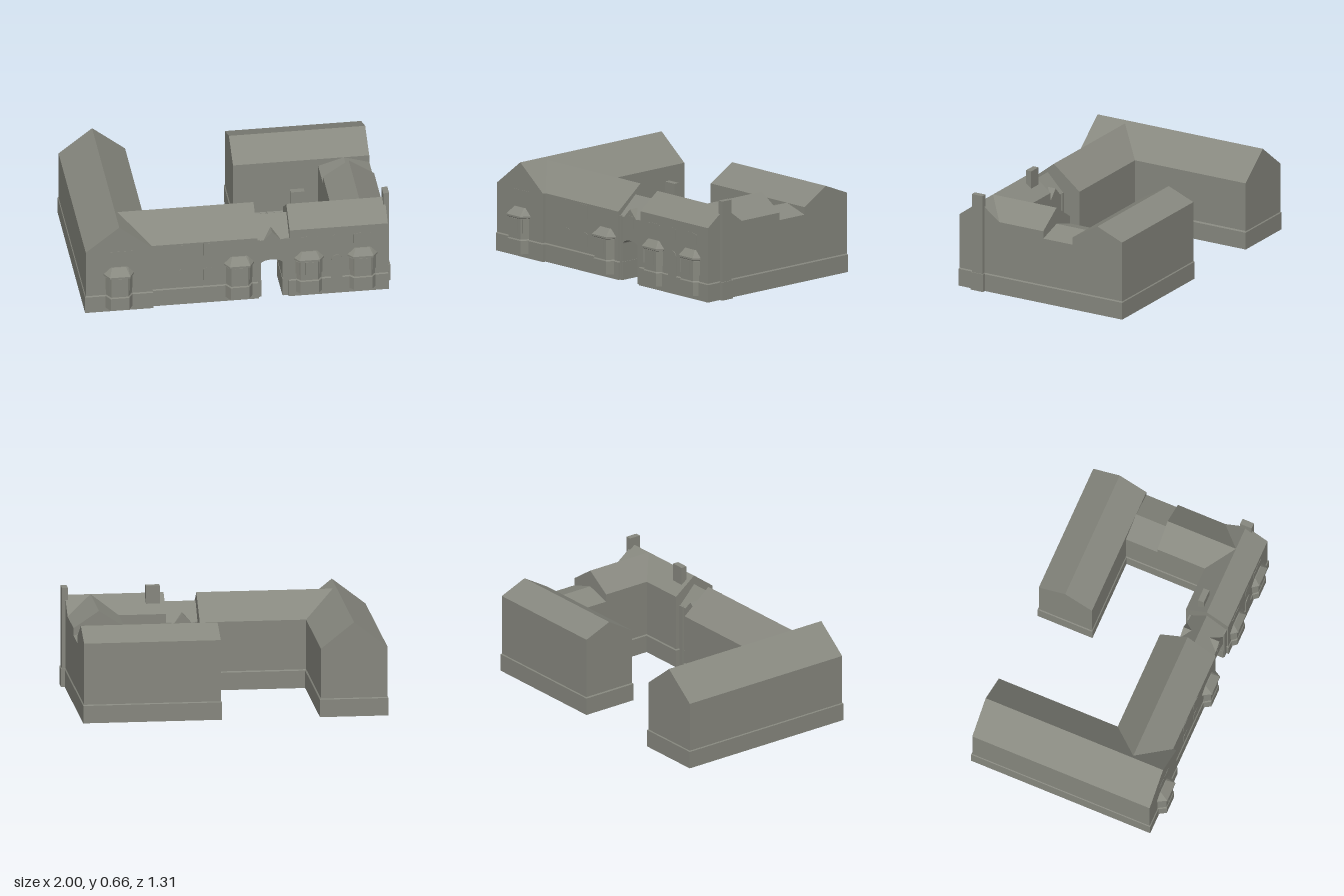
import * as THREE from 'three';

export function createModel() {
  const model = new THREE.Group();
  const stone = new THREE.MeshStandardMaterial({ color: 0x87887f });
  stone.name = 'grey stone';

  const add = (name, geometry, parent = model) => {
    const mesh = new THREE.Mesh(geometry, stone);
    mesh.name = name;
    parent.add(mesh);
    return mesh;
  };
  const box = (name, x0, x1, y0, y1, z0, z1) =>
    add(name, new THREE.BoxGeometry(x1 - x0, y1 - y0, z1 - z0)
      .translate((x0 + x1) / 2, (y0 + y1) / 2, (z0 + z1) / 2));
  const extrude = (points, depth) => new THREE.ExtrudeGeometry(
    new THREE.Shape(points.map(([x, y]) => new THREE.Vector2(x, y))),
    { depth, bevelEnabled: false });

  // Prism along z, or along x with its profile given in (z, y)
  const prismZ = (name, profile, z0, z1) => add(name, extrude(profile, z1 - z0).translate(0, 0, z0));
  const prismX = (name, profile, x0, x1) => add(name,
    extrude(profile.map(([z, y]) => [-z, y]), x1 - x0).rotateY(Math.PI / 2).translate(x0, 0, 0));
  const house = (a, b, ridge, eaveA, top, eaveB = eaveA) =>
    [[a, 0], [b, 0], [b, eaveB], [ridge, top], [a, eaveA]];

  // Plinth with a chamfered top edge
  function plinth(name, x0, x1, z0, z1) {
    const w = x1 - x0, d = z1 - z0;
    const g = new THREE.BoxGeometry(w, 2, d, 1, 2, 1).toNonIndexed();
    const p = g.attributes.position;
    for (let i = 0; i < p.count; i++) {
      const level = Math.round(p.getY(i)), inset = level === 1 ? 0.007 : 0;
      p.setXYZ(i, p.getX(i) - Math.sign(p.getX(i)) * inset, [0, 0.115, 0.124][level + 1],
        p.getZ(i) - Math.sign(p.getZ(i)) * inset);
    }
    g.computeVertexNormals();
    add(name, g.translate((x0 + x1) / 2, 0, (z0 + z1) / 2));
  }

  // Thin plate with a slightly arched head
  function pane(name, x, y0, y1, width, z, rise = 0, parent = model) {
    const h = width / 2, s = new THREE.Shape();
    s.moveTo(-h, y0).lineTo(h, y0).lineTo(h, y1 - rise);
    if (rise) s.absellipse(0, y1 - rise, h, rise, 0, Math.PI, false);
    else s.lineTo(h, y1).lineTo(-h, y1);
    s.closePath();
    const mesh = add(name, new THREE.ExtrudeGeometry(s,
      { depth: 0.005, bevelEnabled: false, curveSegments: 8 }), parent);
    mesh.position.set(x, 0, z);
    return mesh;
  }

  // Wings
  prismZ('westWing', house(-0.995, -0.563, -0.777, 0.45, 0.62), -0.65, 0.592);
  plinth('westWingPlinth', -1, -0.556, -0.655, 0.598);
  prismX('frontRange', house(0.182, 0.57, 0.375, 0.45, 0.605), -0.775, 0.125);
  plinth('frontRangePlinth', -0.6, 0.131, 0.176, 0.576);
  prismX('lodge', house(0.273, 0.57, 0.42, 0.49, 0.6), 0.332, 0.97);
  plinth('lodgePlinth', 0.326, 0.976, 0.267, 0.576);
  prismZ('eastRange', house(0.638, 0.97, 0.805, 0.49, 0.6), -0.058, 0.42);
  prismZ('lowEastRange', house(0.638, 0.97, 0.805, 0.44, 0.49), -0.3, -0.05);
  plinth('eastRangePlinth', 0.632, 0.976, -0.3, 0.4);
  prismX('backWing', house(-0.65, -0.278, -0.465, 0.525, 0.6, 0.49), 0.085, 0.97);
  plinth('backWingPlinth', 0.079, 0.976, -0.655, -0.272);

  // Gateway with an open arched passage
  const gate = new THREE.Shape();
  gate.moveTo(0.12, 0).lineTo(0.148, 0).lineTo(0.148, 0.24);
  gate.absellipse(0.219, 0.24, 0.071, 0.03, Math.PI, 0, true);
  gate.lineTo(0.29, 0).lineTo(0.335, 0).lineTo(0.335, 0.42).lineTo(0.12, 0.42);
  add('gatehouse', new THREE.ExtrudeGeometry(gate,
    { depth: 0.24, bevelEnabled: false, curveSegments: 12 }).translate(0, 0, 0.31));
  prismX('gateRoof', [[0.305, 0.42], [0.555, 0.42], [0.42, 0.54]], 0.12, 0.335);
  prismZ('gateDormerFront', [[0.164, 0.42], [0.276, 0.42], [0.22, 0.48]], 0.44, 0.556);
  prismZ('gateDormerBack', [[0.164, 0.42], [0.276, 0.42], [0.22, 0.48]], 0.304, 0.4);
  for (const [x0, x1] of [[0.12, 0.151], [0.287, 0.335]])
    box('gatePierBase', x0, x1, 0, 0.12, 0.306, 0.555);
  for (const [x0, x1] of [[0.125, 0.142], [0.295, 0.332]])
    for (const [z0, z1] of [[0.298, 0.315], [0.545, 0.56]])
      box('gateButtress', x0, x1, 0, 0.425, z0, z1);
  pane('gateWindow', 0.219, 0.355, 0.44, 0.055, 0.552, 0.012);

  // Chimneys
  box('roofChimney', 0.365, 0.455, 0.5, 0.662, 0.345, 0.385);
  box('gableChimneyTop', 0.955, 0.993, 0.57, 0.653, 0.385, 0.465);
  box('gableChimneyStack', 0.96, 0.993, 0, 0.58, 0.385, 0.465);
  box('gableChimneyBase', 0.96, 1, 0, 0.12, 0.378, 0.472);

  // Bay windows: lofted half-hexagon sections [y, back half width, front half width, depth]
  function bayWindow(x, z, depth) {
    const bay = new THREE.Group();
    bay.name = 'bayWindow';
    bay.position.set(x, 0, z);
    const hb = 0.09, hf = 0.055;
    const rings = [
      [0.03, 0.097, 0.06, depth + 0.005], [0.118, 0.097, 0.06, depth + 0.005],
      [0.126, hb, hf, depth], [0.262, hb, hf, depth],
      [0.268, 0.104, 0.066, depth + 0.011], [0.28, 0.104, 0.066, depth + 0.011],
      [0.325, 0.06, 0.045, 0.006],
    ].map(([y, b, f, d]) => [[-b, y, -0.01], [-f, y, d], [f, y, d], [b, y, -0.01]]);
    const v = [];
    const quad = (a, b, c, d) => v.push(...a, ...b, ...c, ...a, ...c, ...d);
    for (let r = 0; r + 1 < rings.length; r++)
      for (let i = 0; i < 3; i++)
        quad(rings[r][i], rings[r][i + 1], rings[r + 1][i + 1], rings[r + 1][i]);
    quad(...rings[rings.length - 1]);
    quad(...[...rings[0]].reverse());
    const g = new THREE.BufferGeometry();
    g.setAttribute('position', new THREE.Float32BufferAttribute(v, 3));
    g.computeVertexNormals();
    add('bayBody', g, bay);
    pane('bayFrontPane', 0, 0.165, 0.258, 0.058, depth - 0.002, 0, bay);
    for (const s of [-1, 1]) {
      const side = pane('baySidePane', s * (hb + hf) / 2, 0.165, 0.258, 0.036,
        (depth - 0.01) / 2, 0, bay);
      side.rotation.y = s * Math.atan2(depth + 0.01, hb - hf);
    }
    model.add(bay);
  }
  bayWindow(-0.78, 0.592, 0.048);
  bayWindow(0.003, 0.57, 0.045);
  bayWindow(0.458, 0.57, 0.031);
  bayWindow(0.805, 0.57, 0.031);

  // Front windows and door
  for (const x of [-0.805, -0.725]) pane('westWingWindow', x, 0.35, 0.44, 0.064, 0.589);
  for (const x of [-0.362, -0.198]) {
    pane('upperWindow', x, 0.35, 0.44, 0.062, 0.567);
    pane('lowerWindow', x, 0.165, 0.258, 0.062, 0.567, 0.013);
  }
  for (const [x, w] of [[0.458, 0.12], [0.638, 0.06], [0.805, 0.12]])
    pane('lodgeWindow', x, 0.36, 0.435, w, 0.567, 0.01);
  pane('lodgeDoor', 0.638, 0.1, 0.285, 0.074, 0.573, 0.035);

  return model;
}
